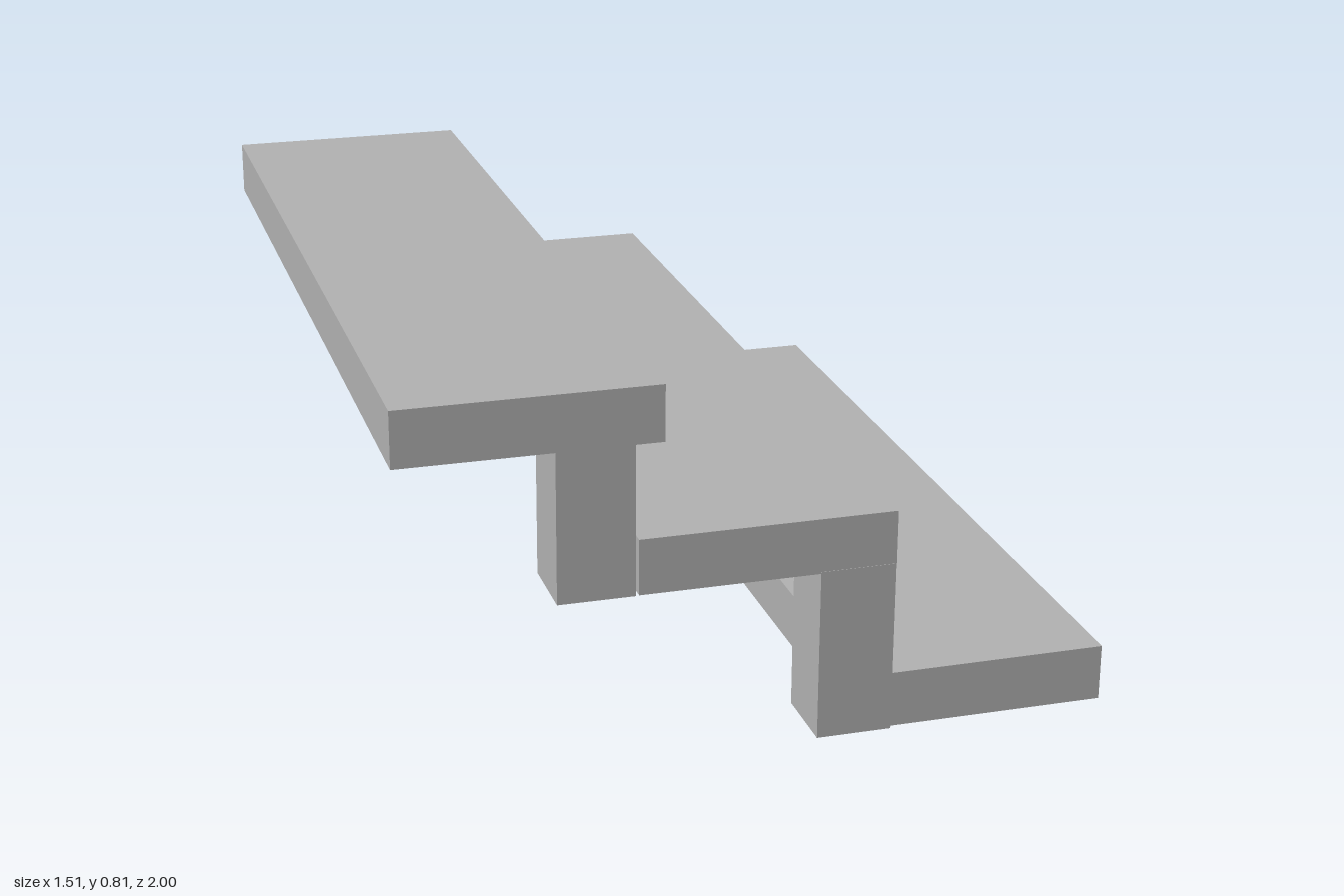
import * as THREE from 'three';

export function createModel() {
  const group = new THREE.Group();
  const grey = new THREE.MeshStandardMaterial({ color: 0xb2b2b2 });
  grey.name = 'grey';

  // Box given by its extents along each axis
  function block(name, [x0, x1], [y0, y1], [z0, z1]) {
    const mesh = new THREE.Mesh(new THREE.BoxGeometry(x1 - x0, y1 - y0, z1 - z0), grey);
    mesh.position.set((x0 + x1) / 2, (y0 + y1) / 2, (z0 + z1) / 2);
    mesh.name = name;
    group.add(mesh);
  }

  // Treads
  block('bottomTread', [0.205, 0.752], [0.005, 0.127], [-0.993, 0.997]);
  block('middleTread', [-0.265, 0.28], [0.371, 0.491], [-0.993, 0.997]);
  block('topTread', [-0.755, -0.21], [0.69, 0.81], [-1, 0.99]);

  // Lower posts, the back one set slightly further in
  block('lowerFrontPost', [0.117, 0.279], [0, 0.375], [0.833, 0.998]);
  block('lowerBackPost', [0.076, 0.24], [0.004, 0.44], [-1, -0.837]);

  // Upper posts
  block('upperFrontPost', [-0.43, -0.268], [0.364, 0.7], [0.822, 0.984]);
  block('upperBackPost', [-0.426, -0.262], [0.368, 0.7], [-0.988, -0.825]);

  return group;
}
